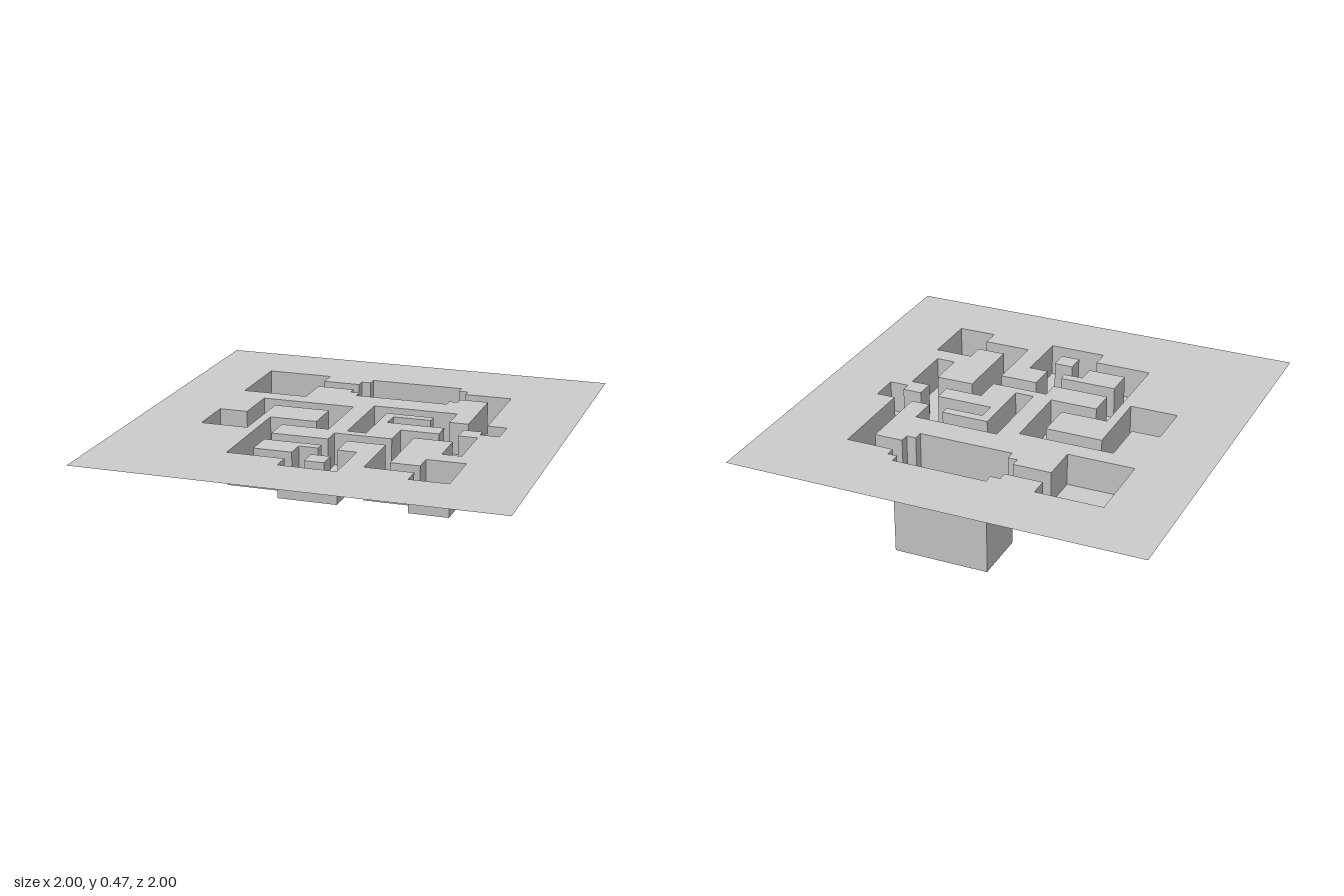
import * as THREE from 'three';

const U = 0.0461, ORIGIN = -0.68;          // maze grid unit and its corner
const TOP = 0.47, FLOOR = 0.315, PIT = 0;  // heights of the three levels
const SPIKE_SIZE = 0.92, SPIKE_HEIGHT = 0.16;

const at = k => ORIGIN + k * U;
const material = new THREE.MeshStandardMaterial({
  color: 0xcccccc, flatShading: true, side: THREE.DoubleSide,
});

// Right-angled loop: from a start corner, the moves alternate new x, new z (grid units)
function loop(x, z, moves) {
  const pts = [[x, z]];
  moves.forEach((v, i) => {
    if (i % 2) z = v; else x = v;
    pts.push([x, z]);
  });
  const [a, b] = [pts[0], pts[pts.length - 1]];
  if (a[0] === b[0] && a[1] === b[1]) pts.pop();
  return pts.map(p => new THREE.Vector2(at(p[0]), -at(p[1])));
}

const rect = (x0, z0, x1, z1) => loop(x0, z0, [x1, z1, x0, z0]);

function addMesh(group, name, geometry) {
  const mesh = new THREE.Mesh(geometry, material);
  mesh.name = name;
  group.add(mesh);
  return mesh;
}

// Level sheet with openings
function sheet(points, y, holes = []) {
  const shape = new THREE.Shape(points);
  shape.holes = holes.map(h => new THREE.Path(h));
  return new THREE.ShapeGeometry(shape).rotateX(-Math.PI / 2).translate(0, y, 0);
}

// Upright walls along a closed loop
function walls(points, y0, y1) {
  const pos = [];
  points.forEach((a, i) => {
    const b = points[(i + 1) % points.length];
    const p = [a.x, y0, -a.y], q = [b.x, y0, -b.y];
    const r = [b.x, y1, -b.y], s = [a.x, y1, -a.y];
    pos.push(...p, ...q, ...r, ...p, ...r, ...s);
  });
  const geometry = new THREE.BufferGeometry();
  geometry.setAttribute('position', new THREE.Float32BufferAttribute(pos, 3));
  geometry.computeVertexNormals();
  return geometry;
}

export function createModel() {
  const group = new THREE.Group();
  group.name = 'sunkenMaze';

  // Maze outline, in sections around the pit
  const leftStart = [7, 2, 11, 1];
  const pitBack = [12, 0, 22, 1];
  const mazeRun = [
    23, 2, 28, 12, 30, 15, 28, 14, 26, 16, 28, 22, 26, 18, 22, 26, 25, 24, 29, 30,
    25, 28, 20, 21, 16, 24, 18, 30, 12, 28, 6, 16, 11, 12, 5, 20, 0, 15, 3, 10,
    13, 18, 8, 21, 14, 19, 20, 16, 24, 14, 18, 12, 22, 11, 17, 18, 15, 9, 24, 12,
    26, 4, 23, 5,
  ];
  const pitFront = [22, 6, 12, 5];
  const leftEnd = [11, 4, 7, 8, 0, 0];
  const outline = loop(0, 0, [...leftStart, ...pitBack, ...mazeRun, ...pitFront, ...leftEnd]);

  // Solid blocks standing inside the maze
  const islands = [
    loop(8, 23, [14, 24, 12, 26, 8, 23]),
    rect(14, 26, 16, 28),
  ];

  // Ground sheet and island tops
  const ground = [[-1, -1], [1, -1], [1, 1], [-1, 1]].map(p => new THREE.Vector2(...p));
  addMesh(group, 'ground', sheet(ground, TOP, [outline]));
  addMesh(group, 'mazeWalls', walls(outline, FLOOR, TOP));
  for (const island of islands) {
    addMesh(group, 'islandTop', sheet(island, TOP));
    addMesh(group, 'islandWalls', walls(island, FLOOR, TOP));
  }

  // Floors on either side of the pit
  addMesh(group, 'leftRoomFloor', sheet(loop(0, 0, [...leftStart, 12, 5, ...leftEnd]), FLOOR));
  addMesh(group, 'mazeFloor', sheet(loop(22, 1, [...mazeRun, 22, 1]), FLOOR, islands));

  // Pit with hollow spikes rising from its floor
  const pit = rect(12, 0, 22, 6);
  const spikes = [
    [15.5, 0.5], [18.5, 0.5], [13.5, 2.5], [16.5, 2.5], [19.5, 2.5],
    [14.5, 4.5], [18.5, 4.5], [20.5, 4.5], [16.5, 5.5],
  ];
  const h = SPIKE_SIZE / 2;
  const openings = spikes.map(([x, z]) => rect(x - h, z - h, x + h, z + h));
  addMesh(group, 'pitWalls', walls(pit, PIT, FLOOR));
  addMesh(group, 'pitFloor', sheet(pit, PIT, openings));

  const spike = new THREE.ConeGeometry(SPIKE_SIZE * U / Math.SQRT2, SPIKE_HEIGHT, 4, 1, true)
    .rotateY(Math.PI / 4).translate(0, SPIKE_HEIGHT / 2, 0);
  for (const [x, z] of spikes) {
    addMesh(group, 'spike', spike).position.set(at(x), PIT, at(z));
  }
  return group;
}
